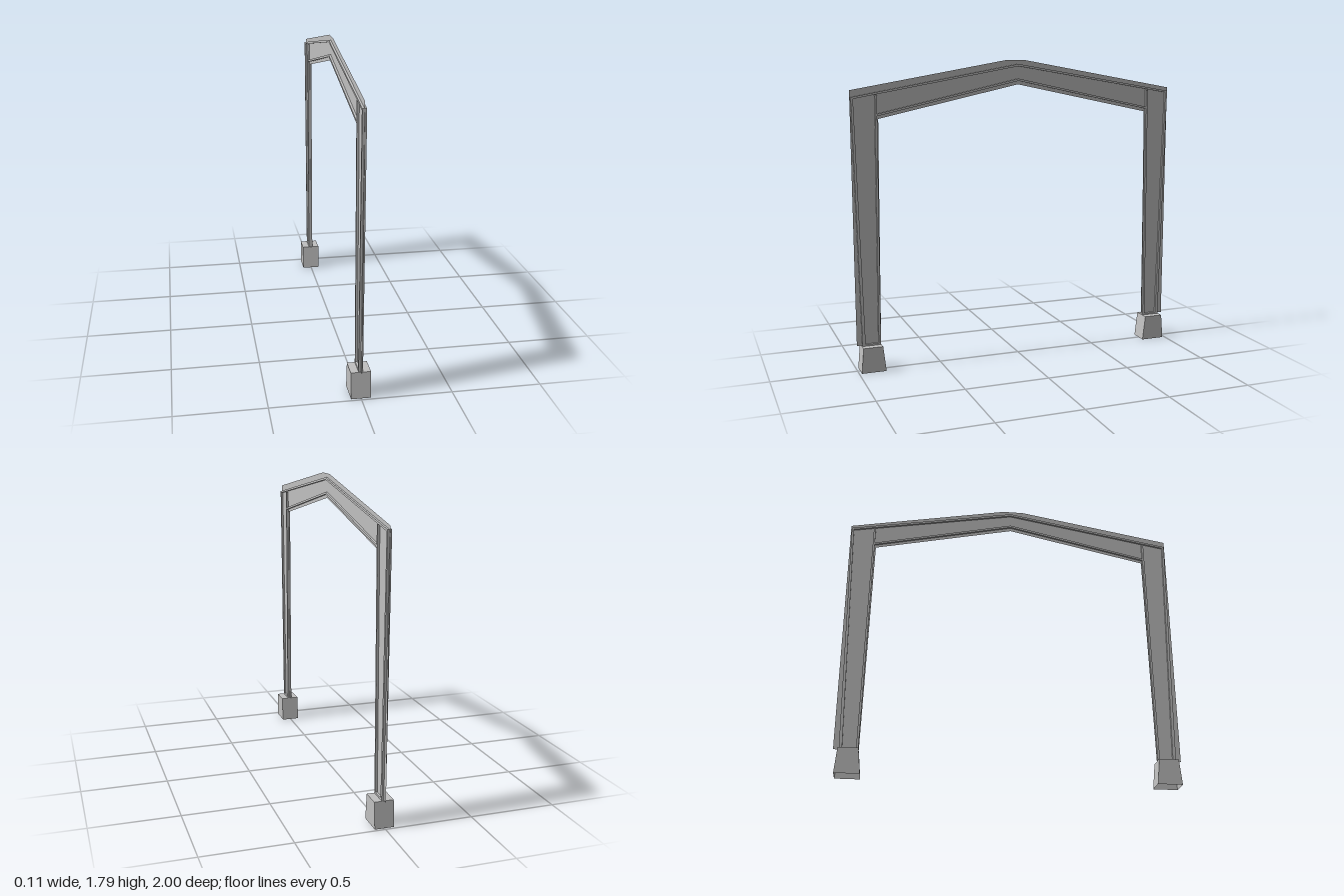
import * as THREE from 'three';

const steel = new THREE.MeshStandardMaterial({ color: 0xc0c0c0, side: THREE.DoubleSide });
steel.name = 'grey steel';

const FLANGE_WIDTH = 0.024;

function outline(points) {
  return new THREE.Shape(points.map(([z, y]) => new THREE.Vector2(z, y)));
}

// Outline given as [z, y], extruded symmetrically along x
function bar(name, points, width) {
  const geometry = new THREE.ExtrudeGeometry(outline(points), { depth: width, bevelEnabled: false });
  geometry.translate(0, 0, -width / 2).rotateY(-Math.PI / 2);
  const mesh = new THREE.Mesh(geometry, steel);
  mesh.name = name;
  return mesh;
}

// Footing tapered along z, open underneath
function footing(s) {
  const hx = 0.055, h = 0.15;
  const a = [-hx, 0, 0.84 * s], b = [hx, 0, 0.84 * s], c = [hx, 0, 0.985 * s], d = [-hx, 0, 0.985 * s];
  const e = [-hx, h, 0.857 * s], f = [hx, h, 0.857 * s], g = [hx, h, 0.972 * s], k = [-hx, h, 0.972 * s];
  const quads = [[d, c, g, k], [b, a, e, f], [c, b, f, g], [a, d, k, e], [k, g, f, e]];
  const positions = [];
  for (const q of quads) {
    const [p0, p1, p2, p3] = s > 0 ? q : [...q].reverse();
    positions.push(...p0, ...p1, ...p2, ...p0, ...p2, ...p3);
  }
  const geometry = new THREE.BufferGeometry();
  geometry.setAttribute('position', new THREE.Float32BufferAttribute(positions, 3));
  geometry.computeVertexNormals();
  const mesh = new THREE.Mesh(geometry, steel);
  mesh.name = 'footing';
  return mesh;
}

export function createModel() {
  const group = new THREE.Group();
  group.name = 'portalFrame';

  // Thin web sheet of the whole frame, standing slightly proud of the flanges
  const webGeometry = new THREE.ShapeGeometry(outline([
    [1, 0.153], [1, 1.63], [0.08, 1.788], [-0.045, 1.788], [-1, 1.613], [-1, 0.153],
    [-0.857, 0.153], [-0.84, 1.467], [0, 1.647], [0.84, 1.467], [0.857, 0.153],
  ]));
  webGeometry.rotateY(-Math.PI / 2);
  const web = new THREE.Mesh(webGeometry, steel);
  web.name = 'web';
  group.add(web);

  // Rafter flanges, bent at the ridge
  group.add(bar('rafterTopFlange', [
    [0.995, 1.592], [0.995, 1.58], [0, 1.753], [-0.995, 1.58], [-0.995, 1.592], [0, 1.766],
  ], FLANGE_WIDTH));
  group.add(bar('rafterBottomFlange', [
    [0.85, 1.495], [0.85, 1.483], [0, 1.668], [-0.85, 1.483], [-0.85, 1.495], [0, 1.681],
  ], FLANGE_WIDTH));

  // Columns and footings
  for (const s of [1, -1]) {
    const side = new THREE.Group();
    side.name = s > 0 ? 'frontColumn' : 'backColumn';
    const flip = (points) => points.map(([z, y]) => [z * s, y]);
    side.add(bar('outerFlange', flip([[0.968, 0.15], [0.995, 1.59], [0.982, 1.585], [0.95, 0.15]]), FLANGE_WIDTH));
    side.add(bar('innerFlange', flip([[0.86, 0.15], [0.847, 1.6], [0.859, 1.6], [0.873, 0.15]]), FLANGE_WIDTH));
    side.add(bar('basePlate', flip([[0.968, 0.15], [0.968, 0.16], [0.86, 0.16], [0.86, 0.15]]), FLANGE_WIDTH));
    side.add(footing(s));
    group.add(side);
  }
  return group;
}
